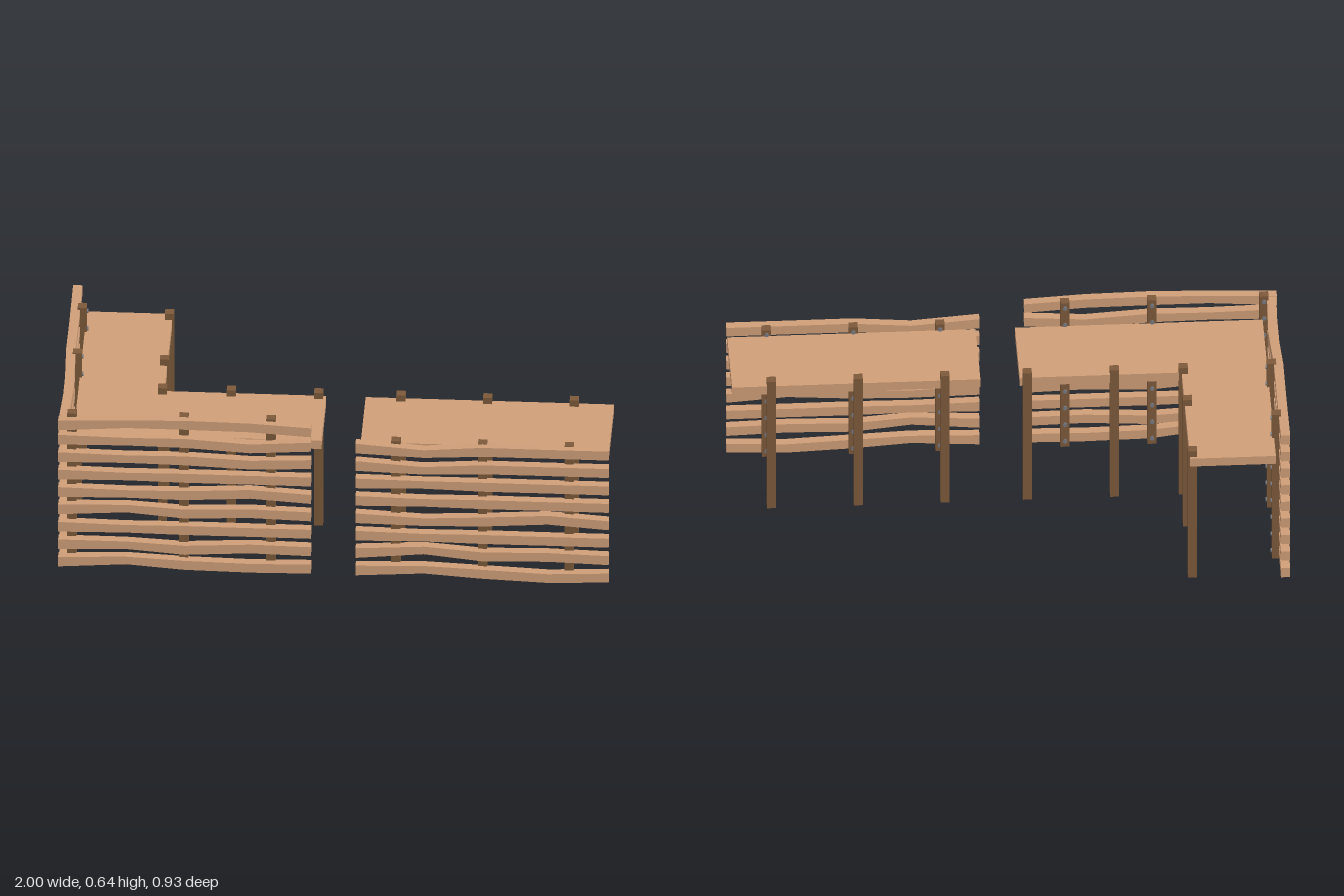
import * as THREE from 'three';

const plankMat = new THREE.MeshStandardMaterial({ color: 0xcf9e78 });
const postMat = new THREE.MeshStandardMaterial({ color: 0x7c593a });
const boltMat = new THREE.MeshStandardMaterial({ color: 0x777a80 });

const POST = 0.033;
const THICK = 0.034;
const rowY = (i) => 0.026 + 0.0742 * i;

function add(parent, name, geometry, material, x = 0, y = 0, z = 0) {
  const mesh = new THREE.Mesh(geometry, material);
  mesh.name = name;
  mesh.position.set(x, y, z);
  parent.add(mesh);
}

// A warped plank along x: a box whose slices move to the stations [x, dy, height, dz]
function plankGeometry(stations) {
  const n = stations.length - 1;
  const geo = new THREE.BoxGeometry(1, 1, THICK, n, 1, 1);
  const pos = geo.attributes.position;
  for (let i = 0; i < pos.count; i++) {
    const [x, dy, h, dz] = stations[Math.round((pos.getX(i) + 0.5) * n)];
    pos.setXYZ(i, x, pos.getY(i) * h + dy, pos.getZ(i) + dz);
  }
  geo.computeVertexNormals();
  return geo;
}

// Fence running along local x with its outside towards +z.
// Each row holds five heights along the plank, then optional bulges at the second and fourth.
function fence(name, from, to, rows, postXs, height) {
  const group = new THREE.Group();
  group.name = name;
  const steps = [0, 0.27, 0.5, 0.76, 1];
  const widths = [0.041, 0.032, 0.038, 0.037, 0.038];
  rows.forEach((row, i) => {
    const bulges = [0, row[5] ?? 0, 0, row[6] ?? 0, 0];
    const stations = steps.map((t, k) => [from + (to - from) * t, row[k], widths[k], bulges[k]]);
    add(group, 'fencePlank', plankGeometry(stations), plankMat, 0, rowY(i), 0);
  });
  for (const x of postXs) {
    add(group, 'fencePost', new THREE.BoxGeometry(POST, height, POST), postMat, x, height / 2, -0.025);
    // Bolt heads on the inner face of the post
    rows.forEach((_, i) => {
      const bolt = new THREE.CylinderGeometry(0.008, 0.008, 0.008, 12).rotateX(Math.PI / 2);
      add(group, 'bolt', bolt, boltMat, x, rowY(i), -0.043);
    });
  }
  return group;
}

// Table top cut from an outline of [x, z] corners
function tableTop(parent, name, outline) {
  const shape = new THREE.Shape(outline.map(([x, z]) => new THREE.Vector2(x, -z)));
  const geo = new THREE.ExtrudeGeometry(shape, { depth: 0.035, bevelEnabled: false });
  geo.rotateX(-Math.PI / 2);
  add(parent, name, geo, plankMat, 0, 0.504, 0);
}

export function createModel() {
  const root = new THREE.Group();
  root.name = 'fencedStall';

  const leftRows = [
    [0, 0.019, 0, -0.004, 0, 0.009], [0, 0.004, -0.01, 0.004, 0], [0, 0, 0, 0, 0],
    [0, 0.012, -0.004, 0.006, 0], [0, 0, 0, 0.014, 0], [0, 0, 0, 0, 0],
    [0, 0, 0, -0.01, 0], [0, 0, 0, -0.015, 0], [-0.014, 0, 0.003, 0, -0.013],
  ];
  const rightRows = [
    [0, 0.012, 0, -0.01, 0], [0, 0.02, 0, 0.006, 0], [0, 0, 0, 0, 0], [0, -0.008, 0, 0.016, 0],
    [0, 0, 0, 0, 0], [0, 0.002, 0, 0, 0], [0, -0.012, 0, 0, 0], [0, -0.015, 0, 0, 0],
  ];
  const sideRows = [
    [0, 0.021, 0, 0, 0], [0, 0, 0, -0.011, 0], [0, 0, 0, 0, 0],
    [0, -0.005, 0, 0.016, 0], [0, 0.018, 0, 0, 0], [0, -0.003, 0, -0.011, 0],
    [0, 0, 0, 0.01, 0], [0, -0.004, 0, -0.006, 0], [0, -0.006, 0.002, -0.016, -0.014, 0, -0.008],
  ];

  // Front fences
  const frontLeft = fence('frontCornerFence', -1, -0.082, leftRows, [-0.952, -0.545, -0.229], 0.642);
  const frontRight = fence('frontStraightFence', 0.08, 1, rightRows, [0.225, 0.54, 0.855], 0.565);
  frontLeft.position.z = frontRight.position.z = 0.438;

  // Side fence, turned so its outside faces -x and local x becomes +z
  const side = fence('sideFence', -0.462, 0.42, sideRows, [-0.32, -0.005], 0.642);
  side.rotation.y = -Math.PI / 2;
  side.position.x = -0.981;
  root.add(frontLeft, frontRight, side);

  // Tables
  tableTop(root, 'cornerTableTop', [
    [-0.947, 0.398], [-0.047, 0.398], [-0.047, 0.087], [-0.635, 0.087], [-0.635, -0.447], [-0.947, -0.447],
  ]);
  tableTop(root, 'straightTableTop', [[0.096, 0.398], [0.998, 0.398], [0.998, 0.087], [0.096, 0.087]]);

  // Table posts standing slightly above the tops
  const posts = [
    [-0.645, -0.421], [-0.645, -0.104], [-0.641, 0.094], [-0.391, 0.094], [-0.074, 0.094],
    [0.225, 0.094], [0.54, 0.094], [0.855, 0.094],
  ];
  for (const [x, z] of posts) {
    add(root, 'tablePost', new THREE.BoxGeometry(POST, 0.565, POST), postMat, x, 0.2825, z);
  }
  return root;
}
